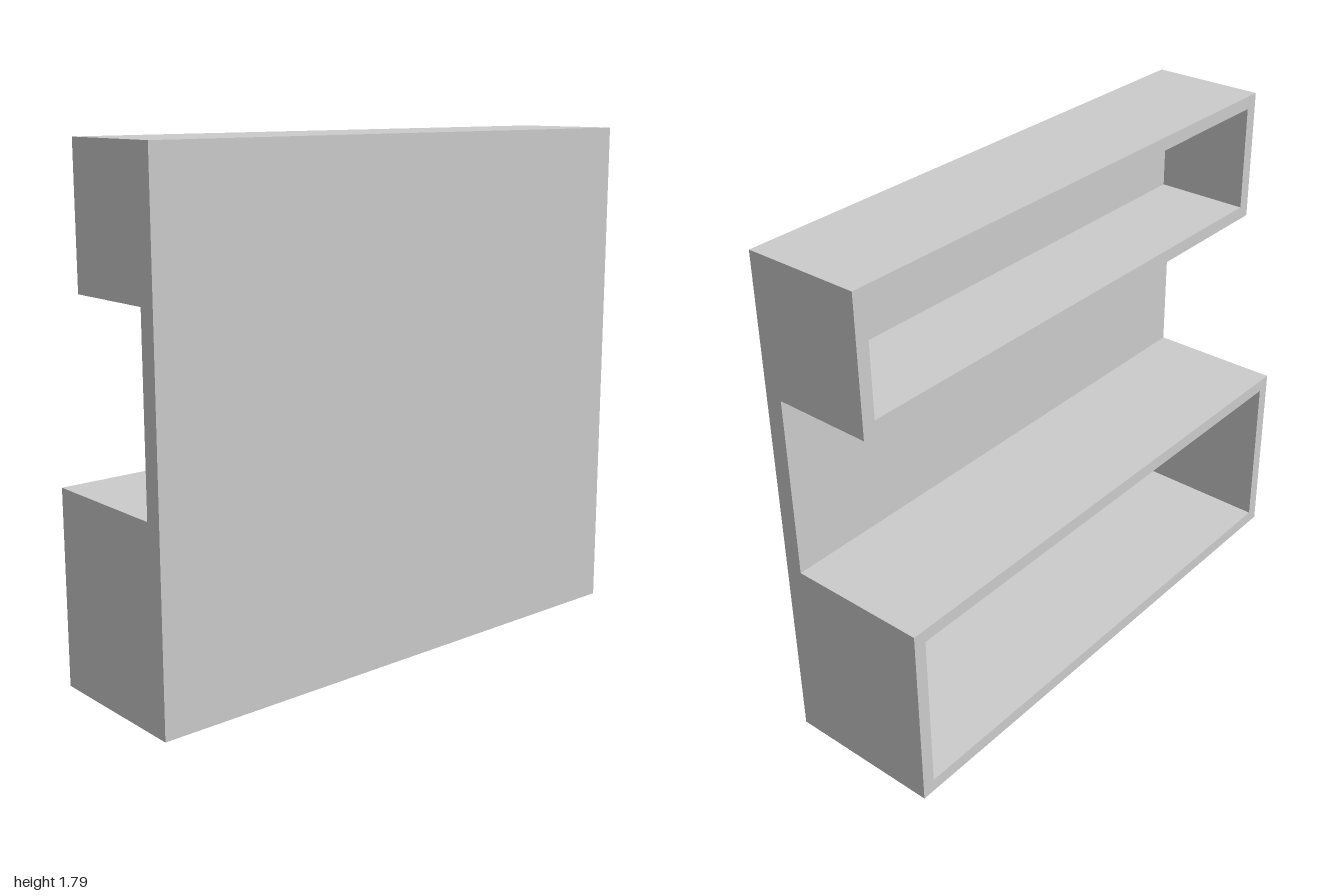
import * as THREE from 'three';

const WIDTH = 2, HEIGHT = 1.795;
const FRONT = 0.28, PANEL_BACK = 0.217; // z of the front panel's two faces
const WALL = 0.047;

const material = new THREE.MeshStandardMaterial({ color: 0xcccccc, flatShading: true });

// Rectangular tube, open at the back and closed by the front panel
function shelfBox(name, bottom, top, back) {
  const w = WIDTH / 2, i = w - WALL;
  const shape = new THREE.Shape([
    new THREE.Vector2(-w, bottom), new THREE.Vector2(w, bottom),
    new THREE.Vector2(w, top), new THREE.Vector2(-w, top),
  ]);
  shape.holes.push(new THREE.Path([
    new THREE.Vector2(-i, bottom + WALL), new THREE.Vector2(-i, top - WALL),
    new THREE.Vector2(i, top - WALL), new THREE.Vector2(i, bottom + WALL),
  ]));
  const geometry = new THREE.ExtrudeGeometry(shape, { depth: PANEL_BACK - back, bevelEnabled: false });
  const mesh = new THREE.Mesh(geometry, material);
  mesh.name = name;
  mesh.position.z = back;
  return mesh;
}

export function createModel() {
  const group = new THREE.Group();
  group.name = 'counter';

  // Full-height front panel
  const panel = new THREE.Mesh(new THREE.BoxGeometry(WIDTH, HEIGHT, FRONT - PANEL_BACK), material);
  panel.name = 'frontPanel';
  panel.position.set(0, HEIGHT / 2, (FRONT + PANEL_BACK) / 2);
  group.add(panel);

  // Deep lower shelf and shallower upper shelf
  group.add(shelfBox('lowerShelf', 0, 0.68, -0.28));
  group.add(shelfBox('upperShelf', 1.322, HEIGHT, -0.13));

  return group;
}
